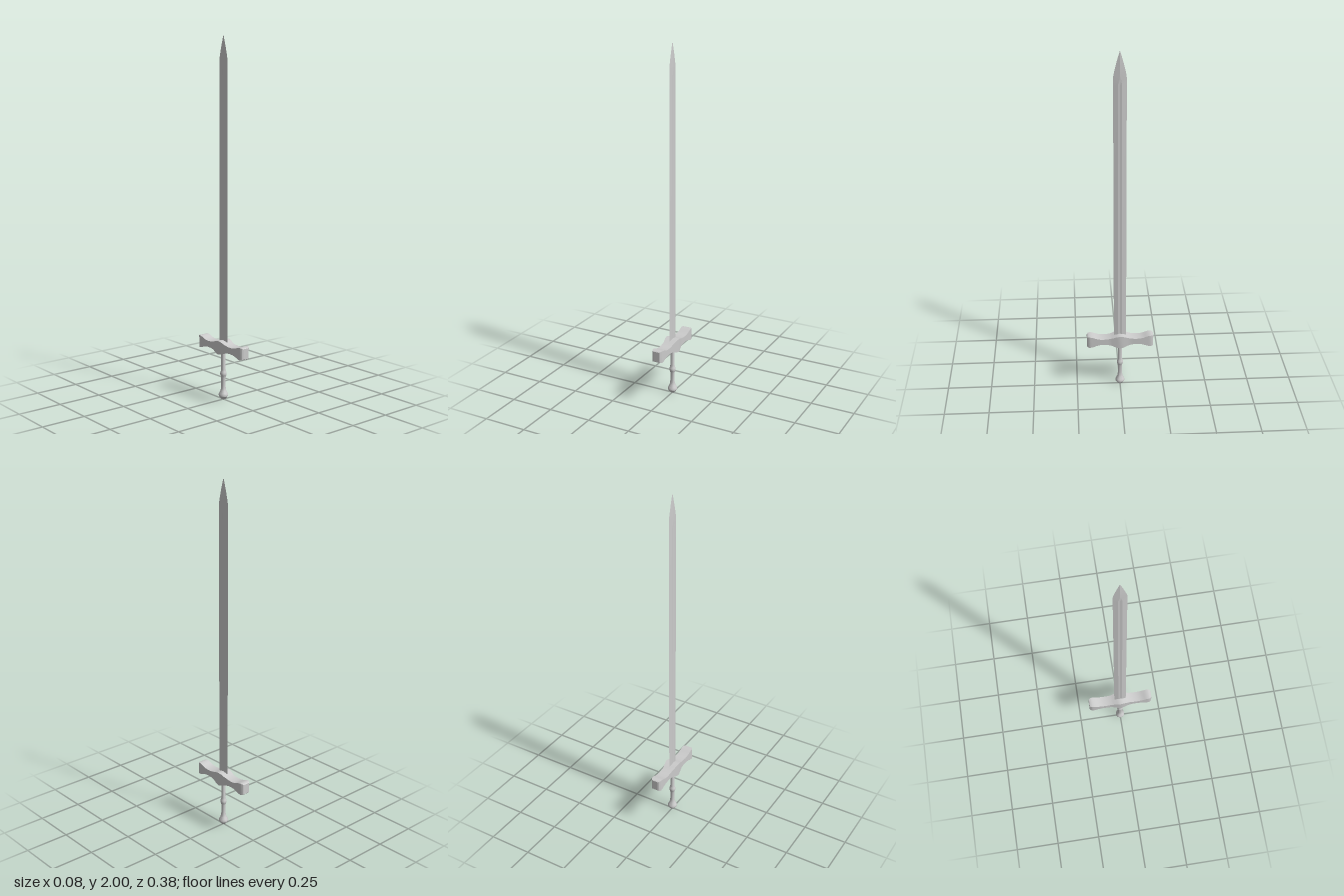
import * as THREE from 'three';
import { toCreasedNormals } from 'three/addons/utils/BufferGeometryUtils.js';

const material = new THREE.MeshStandardMaterial({ color: 0xcccccc });

// Skins closed rings of [x, y, z] points, counterclockwise about the loft axis, with capped ends
function loft(rings, crease) {
  const pos = [];
  const tri = (a, b, c) => pos.push(...a, ...b, ...c);
  const n = rings[0].length;
  const centre = (r) => [0, 1, 2].map((k) => r.reduce((s, p) => s + p[k], 0) / n);
  const first = rings[0], last = rings[rings.length - 1];
  for (let i = 0; i < n; i++) {
    const j = (i + 1) % n;
    for (let s = 0; s < rings.length - 1; s++) {
      const a = rings[s], b = rings[s + 1];
      tri(a[i], a[j], b[j]);
      tri(a[i], b[j], b[i]);
    }
    tri(centre(first), first[j], first[i]);
    tri(centre(last), last[i], last[j]);
  }
  const geo = new THREE.BufferGeometry();
  geo.setAttribute('position', new THREE.Float32BufferAttribute(pos, 3));
  geo.computeVertexNormals();
  return toCreasedNormals(geo, crease);
}

function addPart(group, name, geometry) {
  const mesh = new THREE.Mesh(geometry, material);
  mesh.name = name;
  group.add(mesh);
}

// Diamond blade with a shallow fuller: [height, half width, ridge offset, ridge thickness, centre thickness]
function bladeGeometry() {
  const sections = [
    [0.32, 0.035, 0.011, 0.0055, 0.004],
    [1.82, 0.035, 0.011, 0.0055, 0.004],
    [1.85, 0.035, 0.006, 0.0052, 0.0055],
    [1.87, 0.034, 0.004, 0.005, 0.0055],
    [1.9, 0.028, 0.003, 0.0045, 0.005],
    [1.94, 0.018, 0.002, 0.003, 0.0035],
    [1.97, 0.0095, 0.001, 0.002, 0.0022],
    [2.0, 0.0003, 0.0001, 0.0001, 0.0002],
  ];
  return loft(sections.map(([y, w, f, t, c]) => [
    [0, y, w], [t, y, f], [c, y, 0], [t, y, -f],
    [0, y, -w], [-t, y, -f], [-c, y, 0], [-t, y, f],
  ]), 0.1);
}

// Crossguard: pointed centre block, narrow arms, flared ends with rounded corners
function guardGeometry() {
  const cy = 0.302;
  // [distance from centre, half depth, half height]
  const half = [
    [0, 0.04, 0.039], [0.02, 0.0365, 0.035], [0.045, 0.032, 0.025],
    [0.056, 0.03, 0.022], [0.075, 0.03, 0.0185], [0.095, 0.03, 0.0175], [0.115, 0.03, 0.0185],
    [0.133, 0.03, 0.0225], [0.148, 0.03, 0.0285], [0.16, 0.03, 0.0325],
    [0.172, 0.03, 0.0345], [0.181, 0.0275, 0.034], [0.187, 0.0235, 0.032], [0.19, 0.017, 0.029],
  ];
  const sections = [
    ...half.slice(1).reverse().map(([z, w, h]) => [-z, w, h]),
    ...half,
  ];
  return loft(sections.map(([z, w, h]) => [
    [w, cy - h, z], [w, cy + h, z], [-w, cy + h, z], [-w, cy - h, z],
  ]), 0.4);
}

// Grip with a central ring, flowing into a bulb pommel
function hiltGeometry() {
  const profile = [
    [0, 0], [0.01, 0.002], [0.018, 0.01], [0.026, 0.02], [0.027, 0.028], [0.023, 0.038],
    [0.017, 0.05], [0.0135, 0.062], [0.0125, 0.08], [0.0125, 0.125], [0.0145, 0.135],
    [0.018, 0.143], [0.018, 0.153], [0.0145, 0.162], [0.0125, 0.172], [0.0125, 0.28],
  ].map(([r, y]) => new THREE.Vector2(r, y));
  return toCreasedNormals(new THREE.LatheGeometry(profile, 16), 0.5);
}

export function createModel() {
  const sword = new THREE.Group();
  sword.name = 'sword';
  addPart(sword, 'blade', bladeGeometry());
  addPart(sword, 'crossguard', guardGeometry());
  addPart(sword, 'gripAndPommel', hiltGeometry());
  return sword;
}
